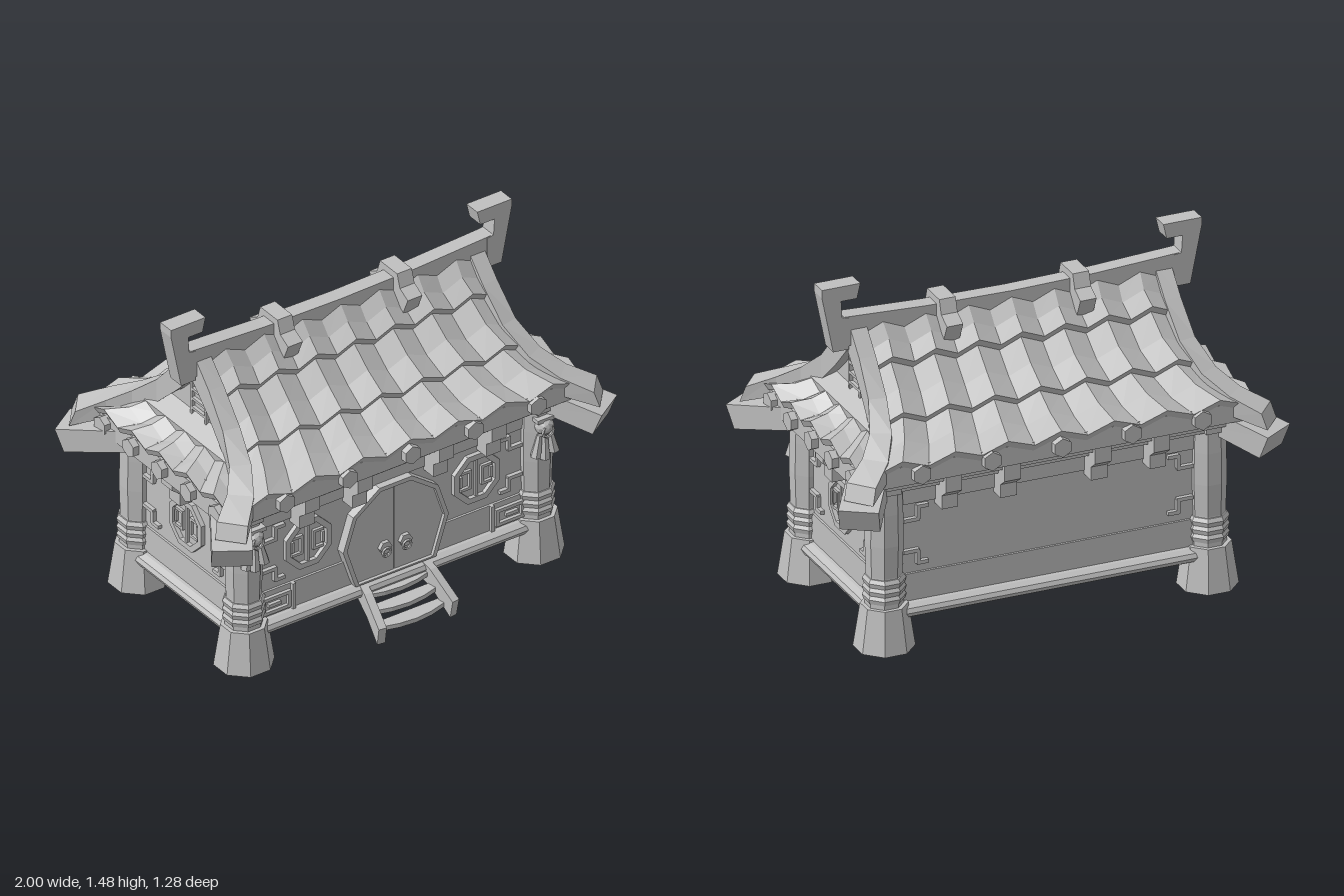
import * as THREE from 'three';

const stone = new THREE.MeshStandardMaterial({ color: 0xc0c0c0, flatShading: true, side: THREE.DoubleSide });
stone.name = 'stone grey';

function add(parent, name, geo, x = 0, y = 0, z = 0) {
  const m = new THREE.Mesh(geo, stone);
  m.name = name;
  m.position.set(x, y, z);
  parent.add(m);
  return m;
}
const box = (w, h, d) => new THREE.BoxGeometry(w, h, d);
const cyl = (rt, rb, h, n) => new THREE.CylinderGeometry(rt, rb, h, n).rotateY(Math.PI / n);
const shape = pts => new THREE.Shape(pts.map(p => new THREE.Vector2(...p)));

// Outline extruded along z, centred on its depth
function plate(pts, depth, hole) {
  const s = shape(pts);
  if (hole) s.holes.push(shape(hole));
  return new THREE.ExtrudeGeometry(s, { depth, bevelEnabled: false }).translate(0, 0, -depth / 2);
}
// Outline given as (z, y), extruded across x
const sidePlate = (pts, width) => plate(pts, width).rotateY(-Math.PI / 2);

function polygon(n, r, start = 0) {
  return Array.from({ length: n }, (_, i) => {
    const a = start + i / n * Math.PI * 2;
    return [Math.cos(a) * r, Math.sin(a) * r];
  });
}

// Skin a list of equal-length cross-sections
function loft(rows, closed) {
  const pos = [], n = rows[0].length;
  for (let r = 0; r < rows.length - 1; r++) {
    for (let i = 0; i < (closed ? n : n - 1); i++) {
      const j = (i + 1) % n;
      const a = rows[r][i], b = rows[r][j], c = rows[r + 1][j], d = rows[r + 1][i];
      pos.push(...a, ...d, ...b, ...b, ...d, ...c);
    }
  }
  if (closed) {
    const [a, b, c, d] = rows[0], [e, f, g, h] = rows[rows.length - 1];
    pos.push(...a, ...b, ...c, ...a, ...c, ...d, ...e, ...g, ...f, ...e, ...h, ...g);
  }
  const geo = new THREE.BufferGeometry();
  geo.setAttribute('position', new THREE.Float32BufferAttribute(pos, 3));
  geo.computeVertexNormals();
  return geo;
}

// Rectangular beam along a path of [x, y, z, halfWidth, height], y being its top;
// lean pushes the lower edge of the last section outward
function beam(path, sx, sz, lean) {
  const p = path.map(([x, y, z, w, h]) => [x * sx, y, z * sz, w, h]);
  return loft(p.map(([x, y, z, w, h], i) => {
    const a = p[Math.max(i - 1, 0)], b = p[Math.min(i + 1, p.length - 1)];
    const t = new THREE.Vector2(b[0] - a[0], b[2] - a[2]).normalize();
    const px = -t.y * w, pz = t.x * w;
    const k = i === p.length - 1 ? lean : 0, lx = x + t.x * k, lz = z + t.y * k;
    return [[x - px, y, z - pz], [x + px, y, z + pz], [lx + px, y - h, lz + pz], [lx - px, y - h, lz - pz]];
  }), true);
}

// Pleated course of tiles facing +z with a thick lower lip
function tiles(n, [w0, y0, z0], [w1, y1, z1], amp) {
  const row = (w, y, z) => Array.from({ length: n + 1 }, (_, i) =>
    [(i / n * 2 - 1) * w, y + (i % 2 ? amp : 0), z]);
  const wm = (w0 + w1) / 2 - 0.01, ym = (y0 + y1) / 2 - 0.012, zm = (z0 + z1) / 2;
  return loft([row(w0, y0, z0), row(wm, ym, zm), row(w1, y1, z1),
    row(w1, y1 - 0.03, z1 - 0.015), row(w0, y0 - 0.03, z0)], false);
}

function windowUnit() {
  const g = new THREE.Group();
  g.name = 'roundWindow';
  const oct = r => polygon(8, r, Math.PI / 8);
  add(g, 'windowFrame', plate(oct(0.122), 0.06, oct(0.095)));
  add(g, 'windowPane', plate(oct(0.095), 0.024));
  add(g, 'windowDivider', box(0.014, 0.18, 0.05));
  for (const s of [-1, 1]) {
    add(g, 'latticeUpright', box(0.012, 0.09, 0.05), s * 0.03);
    add(g, 'latticeOuter', box(0.012, 0.05, 0.05), s * 0.075);
    for (const t of [-1, 1]) add(g, 'latticeBar', box(0.05, 0.012, 0.05), s * 0.052, t * 0.04);
  }
  return g;
}

function doorUnit() {
  const g = new THREE.Group();
  g.name = 'door';
  // Ten-sided outline cut off level with the sill
  const cut = (r, floor) => {
    const p = polygon(10, r).filter(q => q[1] > -r * 0.7);
    const i = p.findIndex(q => q[0] < 0 && q[1] < -r * 0.3);
    const x = r * 0.76;
    p.splice(i + 1, 0, [-x, floor], [x, floor]);
    return p;
  };
  add(g, 'doorFrame', plate(cut(0.26, -0.185), 0.1, cut(0.24, -0.178)));
  for (const s of [-1, 1]) {
    const leaf = cut(0.24, -0.178).map(([x, y]) => [s * Math.max(x, 0.003), y]);
    add(g, 'doorLeaf', plate(leaf, 0.07));
    add(g, 'knockerPlate', plate(polygon(6, 0.03), 0.02), s * 0.05, -0.05, 0.043);
    add(g, 'knockerRing', new THREE.TorusGeometry(0.02, 0.006, 5, 10), s * 0.05, -0.068, 0.056);
  }
  return g;
}

// One wall with beams, trim, corbels and eave ends, facing +z
function wall(name, half, dist, corbels, endGap, endY, endZ) {
  const g = new THREE.Group();
  g.name = name;
  add(g, 'wallPanel', box(half * 2 + 0.12, 0.65, 0.02), 0, 0.455, dist);
  add(g, 'lowerBand', box(half * 2 + 0.08, 0.12, 0.04), 0, 0.26, dist);
  add(g, 'frieze', box(half * 2 + 0.08, 0.09, 0.036), 0, 0.675, dist);
  const sill = new THREE.CylinderGeometry(0.036, 0.036, half * 2 + 0.1, 12).rotateZ(Math.PI / 2).scale(1, 1, 1.8);
  add(g, 'sillBeam', sill, 0, 0.165, dist);
  add(g, 'topBeam', box(half * 2 + 0.3, 0.065, 0.1), 0, 0.745, dist + 0.01);
  for (const s of [-1, 1]) for (const y of [0.39, 0.59]) {
    const t = y < 0.5 ? -1 : 1;
    add(g, 'cornerTrim', box(0.07, 0.016, 0.056), s * (half - 0.035), y - t * 0.03, dist);
    add(g, 'cornerTrim', box(0.016, 0.06, 0.056), s * (half - 0.065), y, dist);
    add(g, 'cornerTrim', box(0.05, 0.016, 0.056), s * (half - 0.085), y + t * 0.025, dist);
  }
  for (const x of corbels) add(g, 'corbel', sidePlate(
    [[0, 0.78], [0.12, 0.78], [0.12, 0.7], [0.08, 0.67], [0.08, 0.61], [0, 0.61]], 0.072), x, 0, dist);
  for (let i = -2; i <= 2; i++)
    add(g, 'eaveEnd', new THREE.CylinderGeometry(0.042, 0.042, 0.1, 6).rotateX(Math.PI / 2), i * endGap, endY, endZ - 0.05);
  return g;
}

function pillar(x, z, front) {
  const g = new THREE.Group();
  g.name = 'pillar';
  add(g, 'pillarFoot', cyl(0.098, 0.127, 0.19, 8), 0, 0.11);
  for (let i = 0; i < 3; i++) {
    add(g, 'pillarRing', cyl(0.09, 0.084, 0.02, 8), 0, 0.235 + i * 0.036);
    add(g, 'pillarRing', cyl(0.08, 0.09, 0.016, 8), 0, 0.253 + i * 0.036);
  }
  const prof = [[0.08, 0.2], [0.074, 0.34], [0.079, 0.48], [0.077, 0.62], [0.07, 0.78]];
  add(g, 'pillarShaft', new THREE.LatheGeometry(prof.map(p => new THREE.Vector2(...p)), 8).rotateY(Math.PI / 8));
  if (front) {
    // Carved boss with hanging tassels
    add(g, 'carvedBoss', new THREE.IcosahedronGeometry(0.042, 1), 0, 0.65, 0.07);
    add(g, 'carvedBrow', box(0.09, 0.018, 0.04), 0, 0.685, 0.073);
    add(g, 'carvedRing', new THREE.TorusGeometry(0.026, 0.007, 5, 10), 0, 0.635, 0.1);
    for (const s of [-1, 0, 1]) {
      const t = add(g, 'tassel', cyl(0.012, 0.024, s ? 0.1 : 0.12, 6), s * 0.036, s ? 0.565 : 0.555, 0.077);
      t.rotation.z = s * 0.2;
    }
  }
  g.position.set(x, 0, z);
  return g;
}

function stairs() {
  const g = new THREE.Group();
  g.name = 'stairs';
  const rail = [[0.4, 0.2], [0.46, 0.175], [0.59, 0.08], [0.575, 0], [0.48, 0.08], [0.4, 0.12]];
  for (const s of [-1, 1]) add(g, 'stairRail', sidePlate(rail, 0.036), s * 0.092).rotation.y = s * 0.15;
  // Treads with a bowed front edge
  const tread = [[-0.16, -0.03], [0.16, -0.03], [0.16, 0.01], [0.08, 0.032], [0, 0.04], [-0.08, 0.032], [-0.16, 0.01]];
  for (let i = 0; i < 3; i++) add(g, 'tread', plate(tread, 0.02).rotateX(Math.PI / 2), 0, 0.045 + i * 0.05, 0.525 - i * 0.05);
  return g;
}

function roof() {
  const g = new THREE.Group();
  g.name = 'roof';
  // Eave fascias
  add(g, 'longFascia', box(1.64, 0.085, 1.02), 0, 0.82, 0);
  add(g, 'sideFascia', box(1.71, 0.09, 0.94), 0, 0.79, 0);
  const courses = [[[0.665, 1.26, 0.02], [0.67, 1.135, 0.145]],
    [[0.67, 1.11, 0.12], [0.71, 0.97, 0.325]], [[0.7, 0.95, 0.3], [0.82, 0.855, 0.525]]];
  for (const s of [0, 1]) {
    for (const [a, b] of courses) add(g, 'tileCourse', tiles(14, a, b, 0.04)).rotation.y = s * Math.PI;
    const turn = (s - 0.5) * Math.PI;
    add(g, 'sideTiles', tiles(10, [0.32, 0.91, 0.72], [0.48, 0.845, 0.875], 0.038)).rotation.y = turn;
    const band = [[[-0.22, 0.985, 0.65], [0.22, 0.985, 0.65]], [[-0.34, 0.935, 0.745], [0.34, 0.935, 0.745]],
      [[-0.34, 0.9, 0.74], [0.34, 0.9, 0.74]]];
    add(g, 'sideRoofBand', loft(band, false)).rotation.y = turn;
  }
  // Curved verges and the corner beams under them
  const verge = [[0.675, 1.3, 0.01, 0.036, 0.14], [0.675, 1.18, 0.12, 0.036, 0.13], [0.685, 1.05, 0.24, 0.038, 0.11],
    [0.725, 0.955, 0.36, 0.045, 0.1], [0.795, 0.89, 0.46, 0.055, 0.085], [0.895, 0.835, 0.545, 0.065, 0.07]];
  const corner = [[0.74, 0.815, 0.3, 0.08, 0.1], [0.93, 0.745, 0.595, 0.083, 0.1]];
  for (const sx of [-1, 1]) for (const sz of [-1, 1]) {
    add(g, 'verge', beam(verge, sx, sz, 0.025));
    add(g, 'cornerBeam', beam(corner, sx, sz, -0.04));
  }
  // Gables with a small ladder panel
  const gable = [[-0.34, 0.85], [0.34, 0.85], [0.22, 0.99], [0.11, 1.13], [0.02, 1.26], [-0.02, 1.26], [-0.11, 1.13], [-0.22, 0.99]];
  for (const s of [-1, 1]) {
    add(g, 'gable', sidePlate(gable, 0.03), s * 0.65);
    for (const z of [-0.05, 0.05]) add(g, 'gableUpright', box(0.02, 0.21, 0.012), s * 0.67, 1.07, z);
    for (let i = 0; i < 4; i++) add(g, 'gableRung', box(0.02, 0.012, 0.1), s * 0.67, 1.0 + i * 0.045);
    // Hooked ridge finial
    const hook = [[0.79, 1.19], [0.84, 1.44], [0.84, 1.475], [0.67, 1.475], [0.685, 1.41], [0.755, 1.41],
      [0.75, 1.335], [0.72, 1.33], [0.72, 1.19]].map(([x, y]) => [x * s, y]);
    add(g, 'ridgeFinial', plate(hook, 0.076));
    add(g, 'ridgeSaddle', sidePlate([[-0.06, 1.345], [0.06, 1.345], [0.08, 1.285], [0.135, 1.255],
      [0.1, 1.175], [0.03, 1.22], [-0.03, 1.22], [-0.1, 1.175], [-0.135, 1.255], [-0.08, 1.285]], 0.072), s * 0.295);
  }
  // Gently sagging ridge
  const ridge = [-0.74, -0.37, 0, 0.37, 0.74].map(x => [x, 1.31 + 0.046 * x * x, 0, 0.035, 0.13]);
  add(g, 'ridgeBeam', beam(ridge, 1, 1, 0));
  return g;
}

export function createModel() {
  const model = new THREE.Group();
  model.name = 'shrine';
  const xs = [-0.46, -0.2, 0.2, 0.46];
  const front = wall('frontWall', 0.64, 0.37, xs, 0.31, 0.825, 0.54);
  const back = wall('backWall', 0.64, 0.37, xs, 0.31, 0.825, 0.54);
  back.rotation.y = Math.PI;
  model.add(front, back);
  for (const s of [-1, 1]) {
    const side = wall('sideWall', 0.3, 0.715, [0], 0.2, 0.797, 0.885);
    const w = windowUnit();
    w.position.set(0, 0.485, 0.715);
    side.add(w);
    side.rotation.y = s * Math.PI / 2;
    model.add(side);

    const fw = windowUnit();
    fw.position.set(s * 0.415, 0.485, 0.37);
    front.add(fw);
    // Low fretted panels beside the pillars
    const r = (w, h) => [[-w, -h], [w, -h], [w, h], [-w, h]];
    add(front, 'fretPanel', plate(r(0.07, 0.04), 0.02, r(0.055, 0.025)), s * 0.575, 0.255, 0.395);
    add(front, 'fretBar', box(0.06, 0.015, 0.02), s * 0.585, 0.255, 0.395);
    add(front, 'wallPost', box(0.016, 0.12, 0.02), s * 0.49, 0.26, 0.395);
    for (const t of [-1, 1]) model.add(pillar(s * 0.715, t * 0.37, t > 0));
  }
  const door = doorUnit();
  door.position.set(0, 0.385, 0.37);
  model.add(door, stairs(), roof());
  return model;
}
